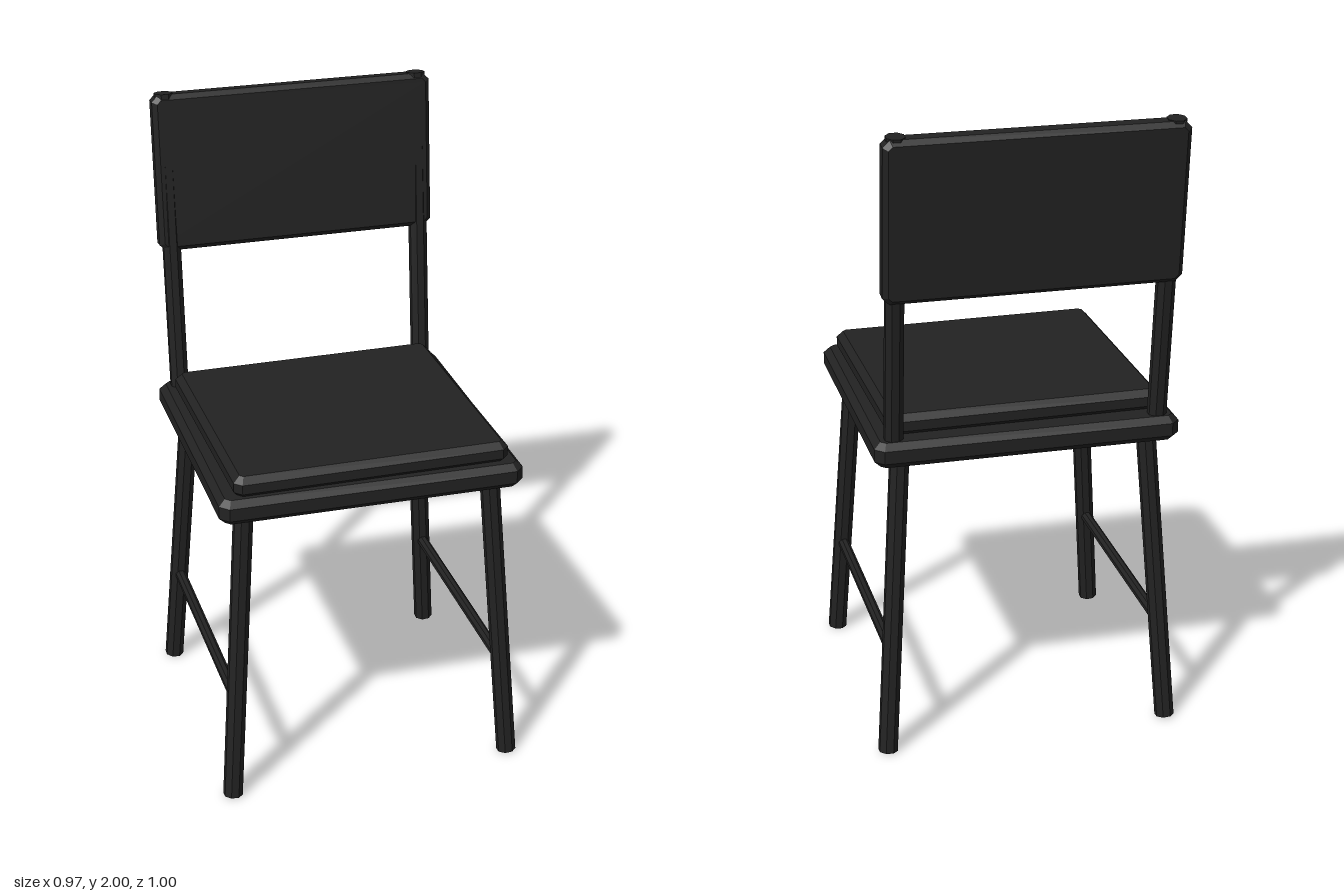
import * as THREE from 'three';

const paint = new THREE.MeshStandardMaterial({ color: 0x222222, flatShading: true });
paint.name = 'charcoal black';

// Centred slab with cut corners and a chamfered rim; w along x, h along y, d along z
function slab(name, w, h, d, c, corner) {
  const x = w / 2 - c, y = h / 2 - c, k = corner;
  const shape = new THREE.Shape([
    [x - k, -y], [x, k - y], [x, y - k], [x - k, y],
    [k - x, y], [-x, y - k], [-x, k - y], [k - x, -y],
  ].map(p => new THREE.Vector2(...p)));
  const geo = new THREE.ExtrudeGeometry(shape, {
    depth: d - 2 * c, bevelEnabled: true, bevelSegments: 1, bevelSize: c, bevelThickness: c,
  });
  geo.translate(0, 0, c - d / 2);
  const mesh = new THREE.Mesh(geo, paint);
  mesh.name = name;
  return mesh;
}

// Faceted bar between two points
function bar(name, from, to, r, sides = 8) {
  const a = new THREE.Vector3(...from), b = new THREE.Vector3(...to);
  const geo = new THREE.CylinderGeometry(r, r, a.distanceTo(b), sides);
  geo.rotateY(Math.PI / sides);
  const mesh = new THREE.Mesh(geo, paint);
  mesh.name = name;
  mesh.position.copy(a).add(b).multiplyScalar(0.5);
  mesh.quaternion.setFromUnitVectors(new THREE.Vector3(0, 1, 0), b.sub(a).normalize());
  return mesh;
}

export function createModel() {
  const chair = new THREE.Group();
  chair.name = 'chair';

  // Seat board
  const seat = slab('seat', 0.95, 0.9, 0.08, 0.02, 0.015);
  seat.rotation.x = -Math.PI / 2;
  seat.position.set(0, 1.003, 0.04);
  chair.add(seat);

  // Cushion, turned very slightly on the seat
  const cushion = slab('cushion', 0.86, 0.8, 0.07, 0.02, 0.01);
  cushion.rotation.set(-Math.PI / 2, 0, 0.013);
  cushion.position.set(0, 1.07, 0.062);
  chair.add(cushion);

  // Splayed legs, side stretchers and back posts
  for (const s of [1, -1]) {
    const side = s > 0 ? 'left' : 'right';
    chair.add(bar(side + 'FrontLeg', [s * 0.455, 0.002, 0.472], [s * 0.388, 0.98, 0.408], 0.031));
    chair.add(bar(side + 'BackLeg', [s * 0.455, 0.002, -0.395], [s * 0.388, 0.98, -0.328], 0.031));
    chair.add(bar(side + 'Stretcher', [s * 0.432, 0.335, 0.45], [s * 0.432, 0.335, -0.37], 0.018));
    chair.add(bar(side + 'BackPost', [s * 0.412, 1.02, -0.357], [s * 0.412, 1.997, -0.464], 0.03));
  }

  // Leaning backrest panel
  const backrest = slab('backrest', 0.905, 0.502, 0.066, 0.015, 0.012);
  backrest.rotation.x = -0.1;
  backrest.position.set(0, 1.744, -0.442);
  chair.add(backrest);

  return chair;
}
